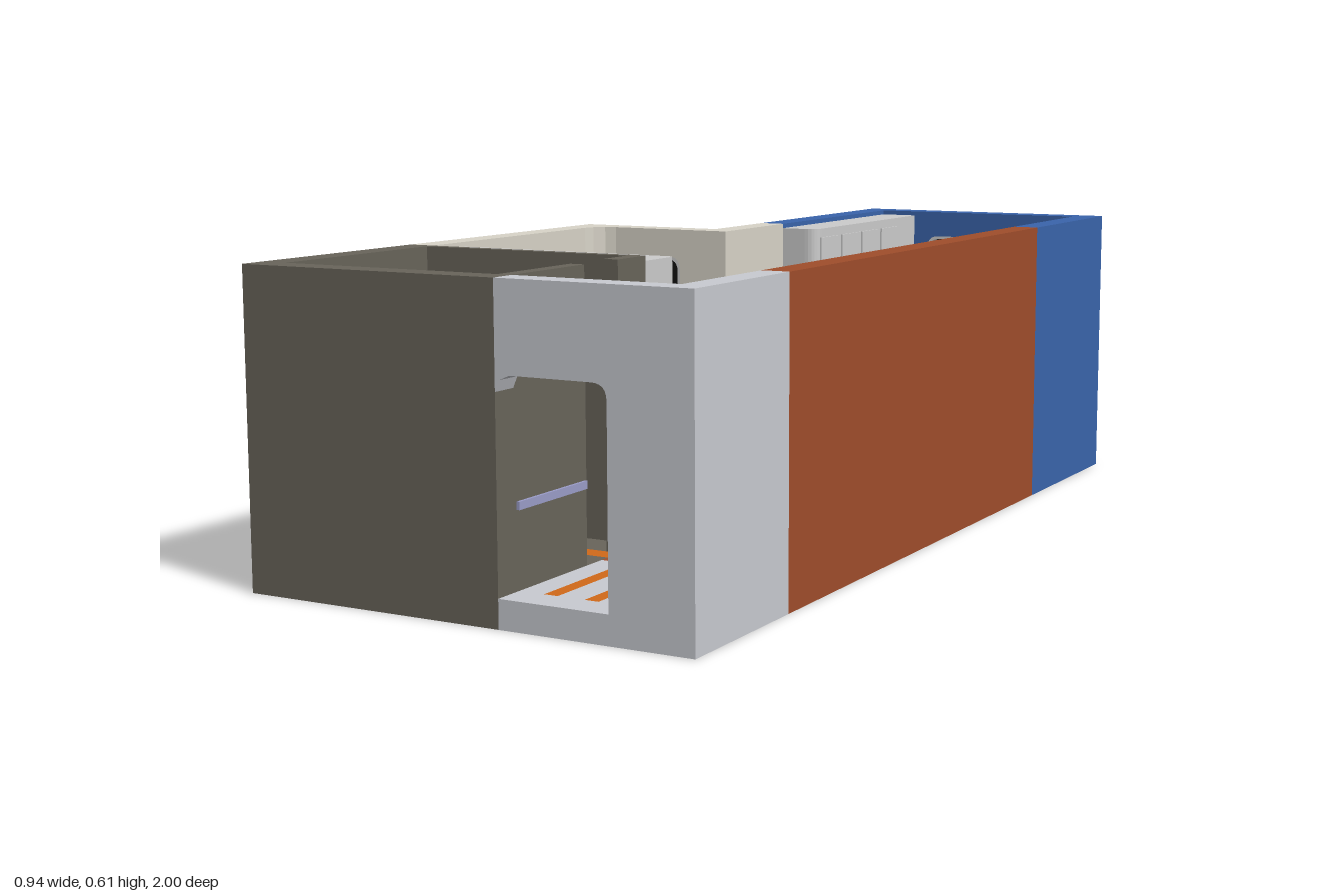
import * as THREE from 'three';

const GREY = 0xcccccc, BLUE = 0x3a64ab, RUST = 0x9f4d2b, BEIGE = 0xd8d4c8, OLIVE = 0x68645a,
  PALE = 0xc8cad0, CYAN = 0x0fdde0, ORANGE = 0xd0691a, YELLOW = 0x8a8a10, BLACK = 0x101010, LILAC = 0x9a9cc8;
const H = 0.61, F = 0.055; // wall top, floor top

const mats = {};
const mat = (c) => (mats[c] ??= new THREE.MeshStandardMaterial({ color: c }));

// closed outline from [x, y, cornerRadius] points
function outline(pts, Type = THREE.Shape) {
  const s = new Type(), n = pts.length;
  pts.forEach(([x, y, r = 0], i) => {
    const toward = ([px, py]) => {
      const l = Math.hypot(px - x, py - y);
      return [x + (px - x) / l * r, y + (py - y) / l * r];
    };
    const a = toward(pts[(i + n - 1) % n]), b = toward(pts[(i + 1) % n]);
    if (i) s.lineTo(...a); else s.moveTo(...a);
    if (r) s.quadraticCurveTo(x, y, ...b);
  });
  s.closePath();
  return s;
}
const rect = (x0, x1, y0, y1, r = 0) => [[x0, y0, r], [x1, y0, r], [x1, y1, r], [x0, y1, r]];

export function createModel() {
  const model = new THREE.Group();

  const add = (name, geo, color) => {
    const m = new THREE.Mesh(geo, mat(color));
    m.name = name;
    model.add(m);
    return m;
  };
  const box = (name, x0, x1, y0, y1, z0, z1, color = GREY) =>
    add(name, new THREE.BoxGeometry(x1 - x0, y1 - y0, z1 - z0)
      .translate((x0 + x1) / 2, (y0 + y1) / 2, (z0 + z1) / 2), color);
  // plan outline in [x, z], raised from y0 to y1
  const prism = (name, pts, y0, y1, color = GREY) => {
    const shape = outline(pts.map(([x, z, r]) => [x, -z, r]));
    const geo = new THREE.ExtrudeGeometry(shape, { depth: y1 - y0, bevelEnabled: false, curveSegments: 6 });
    return add(name, geo.rotateX(-Math.PI / 2).translate(0, y0, 0), color);
  };
  // upright panel in [x, y], from z0 to z1, with an optional opening
  const panel = (name, pts, z0, z1, color, hole) => {
    const shape = outline(pts);
    if (hole) shape.holes.push(outline(hole, THREE.Path));
    const geo = new THREE.ExtrudeGeometry(shape, { depth: z1 - z0, bevelEnabled: false, curveSegments: 6 });
    return add(name, geo.translate(0, 0, z0), color);
  };
  const wall = (name, x0, x1, z0, z1, color) => box(name, x0, x1, F, H, z0, z1, color);

  // floor slabs
  prism('bedroomFloor', [[-.14, -1], [.47, -1], [.47, -.555], [.08, -.555], [.08, -.39], [-.14, -.39]], 0, F, BLUE);
  prism('loungeFloor', [[-.14, -.39], [.08, -.39], [.08, .5], [-.47, .5], [-.47, -.17], [-.14, -.17]], 0, F, BEIGE);
  box('kitchenFloor', .08, .47, 0, F, -.555, .665, RUST);
  box('bathroomFloor', -.47, .08, 0, F, .5, 1, OLIVE);
  box('entranceFloor', .08, .47, 0, F, .665, 1, PALE);

  // plain walls
  wall('bedroomLeftWall', -.14, -.085, -.945, -.39, BLUE);
  wall('bedroomRightWall', .415, .47, -.945, -.555, BLUE);
  wall('kitchenWall', .415, .47, -.555, .665, RUST);
  wall('entranceSideWall', .415, .47, .665, .945, PALE);
  wall('loungeShortWall', -.14, -.085, -.39, -.17, BEIGE);
  wall('loungeLongWall', -.47, -.415, -.115, .5, BEIGE);
  wall('bathroomOuterWall', -.47, -.415, .5, .945, OLIVE);
  wall('bathroomFrontWall', -.47, .08, .945, 1, OLIVE);
  wall('bathroomBackWall', -.415, .08, .5, .52, OLIVE);
  wall('bathroomDoorWall', .05, .08, .52, .6, OLIVE);
  wall('bathroomDoorWall', .05, .08, .715, .945, OLIVE);
  prism('loungeCornerFillet', [[-.415, -.115], [-.365, -.115], [-.389, -.108], [-.408, -.089], [-.415, -.065]], F, H, BEIGE);

  // walls with windows
  const windowed = (name, x0, x1, z0, color, wx0, wx1) => {
    const hole = rect(wx0, wx1, .28, .55, .03), z1 = z0 + .055;
    panel(name + 'Wall', rect(x0, x1, F, H), z0, z1, color, hole);
    panel(name + 'WindowFrame', hole, z0 + .002, z1 - .002, GREY, rect(wx0 + .007, wx1 - .007, .287, .543, .025));
    panel(name + 'WindowPane', rect(wx0 + .005, wx1 - .005, .285, .545, .025), z0 + .022, z0 + .032, BLACK);
  };
  windowed('bedroomBack', -.14, .47, -1, BLUE, .035, .345);
  windowed('loungeBack', -.47, -.085, -.17, BEIGE, -.34, -.2);

  // entrance wall with an open doorway
  panel('entranceWall', [[.08, H], [.08, .415], [.089, .436], [.11, .445], [.303, .445, .03],
    [.303, F], [.47, F], [.47, H]], .945, 1, PALE);
  box('entranceRail', .08, .086, .2, .215, .72, .94, LILAC);

  // floor guide lanes
  const lane = (pts, w = .028) => {
    const path = new THREE.CurvePath(), r = .05;
    const v = pts.map(([x, z]) => new THREE.Vector2(x, z));
    let from = v[0];
    for (let i = 1; i < v.length; i++) {
      if (i === v.length - 1) { path.add(new THREE.LineCurve(from, v[i])); break; }
      const a = v[i].clone().add(v[i - 1].clone().sub(v[i]).setLength(r));
      const b = v[i].clone().add(v[i + 1].clone().sub(v[i]).setLength(r));
      path.add(new THREE.LineCurve(from, a));
      path.add(new THREE.QuadraticBezierCurve(a, v[i], b));
      from = b;
    }
    const pos = [], idx = [];
    path.getPoints(8).forEach((p, i, all) => {
      const t = all[Math.min(i + 1, all.length - 1)].clone().sub(all[Math.max(i - 1, 0)]).normalize();
      for (const s of [-w / 2, w / 2]) pos.push(p.x - t.y * s, F + .003, p.y + t.x * s);
      if (i) { const k = 2 * i; idx.push(k - 2, k, k - 1, k - 1, k, k + 1); }
    });
    const g = new THREE.BufferGeometry();
    g.setAttribute('position', new THREE.Float32BufferAttribute(pos, 3));
    g.setIndex(idx);
    g.setAttribute('normal', new THREE.Float32BufferAttribute(pos.map((_, i) => (i % 3 === 1 ? 1 : 0)), 3));
    const m = add('floorLane', g, ORANGE);
    m.material = mats.lane ??= new THREE.MeshStandardMaterial({ color: ORANGE, side: THREE.DoubleSide });
  };
  lane([[.068, -.84], [.068, -.015], [-.238, -.015], [-.238, .315], [.152, .315], [.152, .945]]);
  lane([[.095, -.84], [.095, -.015], [.235, -.015], [.235, .945]]);
  lane([[-.12, .625], [-.24, .625], [-.24, .83], [-.012, .83], [-.012, .64], [.152, .64]]);
  lane([[-.12, .625], [.152, .625]]);

  // wardrobe beside the bed, with doors on its inner face
  prism('wardrobe', [[-.085, -.945], [0, -.945], [0, -.39, .03], [-.085, -.39]], F, .6);
  for (let i = 0; i < 4; i++) {
    const z = -.84 + i * .11;
    box('wardrobeDoor', 0, .004, .08, .4, z, z + .1);
    box('wardrobeLocker', 0, .004, .41, .58, z, z + .1);
    box('wardrobeHandle', .004, .009, .22, .28, z + .08, z + .086);
  }

  // bed corner and headboard
  prism('bed', [[0, -.92, .02], [.415, -.92], [.415, -.505, .02], [.195, -.505, .02], [.195, -.84, .03], [0, -.84]], F, .14);
  box('headboard', 0, .415, F, .22, -.945, -.92, CYAN);
  box('headboardStrip', 0, .415, .185, .205, -.92, -.915, LILAC);

  // desk with its knee space, and the low counter next to it
  prism('desk', [[.415, -.505], [.335, -.505, .02], [.335, -.28, .03], [.195, -.28, .03],
    [.195, -.06, .03], [.415, -.06]], F, .2);
  prism('deskTop', [[.415, -.505], [.335, -.505, .02], [.335, -.28, .03], [.193, -.28, .03],
    [.193, -.058, .03], [.415, -.058]], .2, .216);
  prism('lowCounter', [[.415, -.058], [.305, -.058], [.305, .055], [.415, .055]], F, .2);

  // kitchen run
  prism('kitchenColumn', [[.415, .055], [.305, .055, .02], [.305, .31], [.415, .31]], F, .585);
  prism('kitchenCounter', [[.415, .31], [.305, .31], [.305, .66, .02], [.415, .66]], F, .2);
  prism('upperCupboards', [[.415, .31], [.305, .31], [.305, .66, .02], [.415, .66]], .44, .585);
  for (let i = 0; i < 3; i++) {
    const z = .315 + i * .108;
    box('upperCupboardDoor', .3, .305, .45, .56, z, z + .104, YELLOW);
    box('lowerCupboardDoor', .3, .305, .065, .165, z, z + .104, YELLOW);
    box('cupboardHandle', .295, .3, .458, .464, z + .03, z + .07);
    box('columnDrawer', .301, .305, .08 + i * .06, .13 + i * .06, .09, .29);
  }

  // entrance storage
  box('entranceShelf', .34, .415, F, .2, .665, .83);
  prism('entranceCabinet', [[.415, .83], [.305, .83, .03], [.305, .945], [.415, .945]], F, .2);

  // lounge seating, table and closet
  prism('seatBack', [[-.085, -.39], [-.06, -.39], [-.06, -.085, .03], [-.385, -.085, .03], [-.385, .39],
    [-.415, .39], [-.415, -.115], [-.085, -.115]], F, .25);
  prism('bench', [[-.385, -.085], [-.305, -.085, .02], [-.305, .39], [-.385, .39]], F, .14);
  prism('tableTop', rect(-.14, -.03, .08, .245, .025), .165, .18);
  add('tableLeg', new THREE.CylinderGeometry(.015, .025, .11, 16).translate(-.085, .11, .162), GREY);
  prism('closet', [[-.415, .39], [.08, .39, .015], [.08, .5], [-.415, .5]], F, .6);
  for (let i = 0; i < 4; i++) {
    const x = -.29 + i * .09;
    box('closetDoor', x, x + .083, .08, .4, .386, .39);
    box('closetLocker', x, x + .083, .41, .58, .386, .39);
    box('closetHandle', x + .068, x + .074, .22, .28, .381, .386);
  }

  // bathroom fittings
  panel('basin', rect(-.33, -.24, .17, .21, .01), .525, .61, GREY);
  add('tap', new THREE.TorusGeometry(.018, .004, 8, 16, Math.PI).rotateY(Math.PI / 2).translate(-.285, .215, .56), GREY);
  box('showerScreen', -.415, -.3, F, .4, .772, .778);
  box('towelBar', -.36, -.2, .3, .31, .935, .945);
  box('cistern', -.415, -.395, F, .19, .82, .88);
  add('toiletBowl', new THREE.CylinderGeometry(.03, .02, .075, 24).scale(1.35, 1, 1).translate(-.362, F + .0375, .85), GREY);
  prism('washCabinet', rect(-.15, .01, .85, .945, .015), F, .16);
  box('washCabinetTop', -.125, -.015, .16, .175, .865, .91);

  return model;
}
